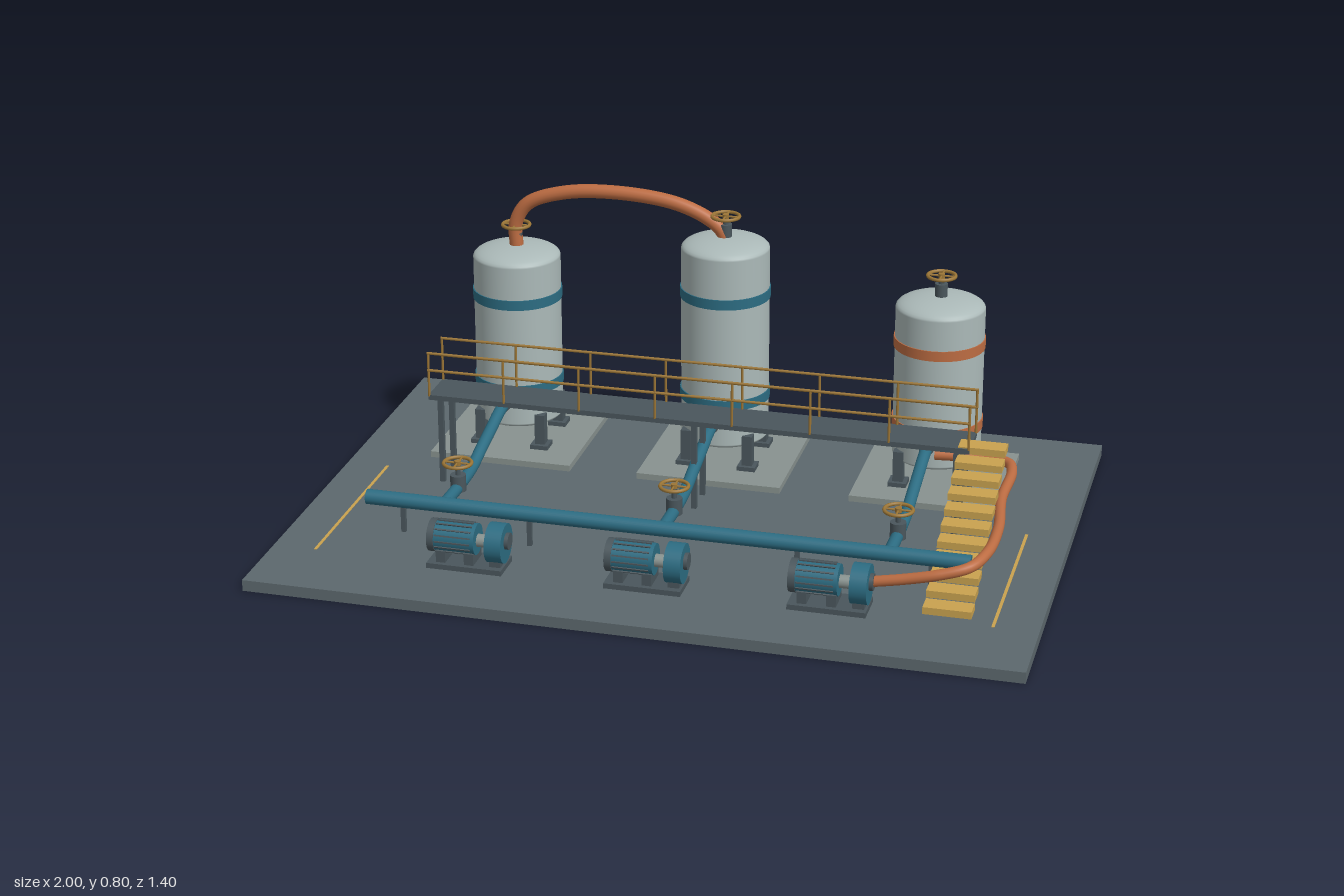
import * as THREE from 'three';

const mat = (color) => new THREE.MeshStandardMaterial({ color });
const M = {
  base: mat(0x5c686d), pad: mat(0x88928f), tank: mat(0xabb9b8), steel: mat(0x4a565c),
  teal: mat(0x2c6c82), copper: mat(0xbc6c42), yellow: mat(0xc9a24f), brass: mat(0x9c7636),
};

function add(parent, name, geo, material, x = 0, y = 0, z = 0) {
  const m = new THREE.Mesh(geo, material);
  m.name = name;
  m.position.set(x, y, z);
  parent.add(m);
  return m;
}
const box = (w, h, d) => new THREE.BoxGeometry(w, h, d);
const cyl = (r, h, n = 20) => new THREE.CylinderGeometry(r, r, h, n);
const cylX = (r, h, n = 28) => cyl(r, h, n).rotateZ(Math.PI / 2);
const cylZ = (r, h, n = 20) => cyl(r, h, n).rotateX(Math.PI / 2);

function pipe(parent, name, points, r, material) {
  const curve = new THREE.CatmullRomCurve3(points.map((p) => new THREE.Vector3(...p)), false, 'centripetal');
  return add(parent, name, new THREE.TubeGeometry(curve, 80, r, 16), material);
}

// Valve handwheel lying flat, with four spokes and a hub
function handwheel(parent, x, y, z) {
  const g = new THREE.Group();
  g.name = 'handwheel';
  g.position.set(x, y, z);
  add(g, 'wheelRim', new THREE.TorusGeometry(0.037, 0.005, 8, 28).rotateX(Math.PI / 2), M.brass);
  add(g, 'wheelSpokeX', cylX(0.003, 0.074, 8), M.brass);
  add(g, 'wheelSpokeZ', cylZ(0.003, 0.074, 8), M.brass);
  add(g, 'wheelHub', cyl(0.009, 0.012, 12), M.brass);
  parent.add(g);
}

const TANK_Z = -0.35, R = 0.12, BOTTOM = 0.12;

// Domed vessel on four legs, with two bands, top nozzle and handwheel
function tank(x, shoulder, bandMaterial) {
  const g = new THREE.Group();
  g.name = 'tank';
  g.position.set(x, 0, TANK_Z);
  const profile = [];
  const dome = 0.032, n = 10;
  for (let i = 0; i <= n; i++) {
    const a = (i / n) * Math.PI / 2;
    profile.push(new THREE.Vector2(R * Math.sin(a), BOTTOM - dome * 0.8 * Math.cos(a)));
  }
  for (let i = 0; i <= n; i++) {
    const a = (i / n) * Math.PI / 2;
    profile.push(new THREE.Vector2(R * Math.cos(a), shoulder + dome * Math.sin(a)));
  }
  add(g, 'tankShell', new THREE.LatheGeometry(profile, 48), M.tank);
  for (const t of [0.22, 0.77]) {
    add(g, 'tankBand', cyl(R + 0.003, 0.028, 48), bandMaterial, 0, BOTTOM + t * (shoulder - BOTTOM), 0);
  }
  add(g, 'concretePad', box(0.4, 0.017, 0.39), M.pad, 0, 0.0385, 0);
  for (const sx of [-1, 1]) for (const sz of [-1, 1]) {
    add(g, 'tankLeg', box(0.028, 0.1, 0.028), M.steel, sx * 0.086, 0.095, sz * 0.086);
    add(g, 'footPlate', box(0.05, 0.012, 0.05), M.steel, sx * 0.086, 0.053, sz * 0.086);
  }
  const top = shoulder + dome;
  add(g, 'topNozzle', cyl(0.017, 0.045), M.steel, 0, top + 0.012, 0);
  add(g, 'valveStem', cyl(0.008, 0.04, 12), M.steel, 0, top + 0.04, 0);
  handwheel(g, 0, top + 0.056, 0);
  return g;
}

// Motor, shaft and volute on a skid, lying along x
function pump(x) {
  const g = new THREE.Group();
  g.name = 'pump';
  g.position.set(x, 0.1, 0.472);
  add(g, 'skid', box(0.2, 0.014, 0.095), M.steel, 0, -0.061, 0);
  for (const px of [-0.065, 0.01]) add(g, 'motorFoot', box(0.025, 0.035, 0.07), M.steel, px, -0.04, 0);
  add(g, 'voluteFoot', box(0.03, 0.03, 0.06), M.steel, 0.078, -0.045, 0);
  add(g, 'motor', cylX(0.041, 0.11), M.teal, -0.03, 0.006, 0);
  add(g, 'fanCover', cylX(0.043, 0.018), M.steel, -0.091, 0.006, 0);
  for (let i = 0; i < 16; i++) {
    const a = (i / 16) * Math.PI * 2;
    const fin = add(g, 'coolingFin', box(0.095, 0.004, 0.004), M.steel, -0.032, 0.006 + 0.042 * Math.cos(a), 0.042 * Math.sin(a));
    fin.rotation.x = a;
  }
  add(g, 'shaft', cylX(0.017, 0.05), M.pad, 0.04, 0.003, 0);
  add(g, 'volute', cylX(0.052, 0.044), M.teal, 0.079, 0.003, 0);
  add(g, 'outletFlange', cylX(0.022, 0.012), M.steel, 0.105, 0.01, 0);
  return g;
}

// Walkway deck on posts with railings along both long sides
function walkway() {
  const g = new THREE.Group();
  g.name = 'walkway';
  add(g, 'deck', box(1.47, 0.014, 0.118), M.steel, 0, 0.277, -0.059);
  for (const x of [-0.705, 0, 0.7]) for (const z of [-0.012, -0.102]) {
    add(g, 'walkwayPost', box(0.014, 0.245, 0.014), M.steel, x, 0.15, z);
  }
  for (const z of [-0.002, -0.116]) {
    for (let i = 0; i < 8; i++) add(g, 'railPost', cyl(0.0035, 0.125, 8), M.brass, -0.733 + i * 0.2094, 0.343, z);
    for (const y of [0.355, 0.404]) add(g, 'handrail', cylX(0.004, 1.472, 8), M.brass, 0, y, z);
  }
  return g;
}

export function createModel() {
  const model = new THREE.Group();
  model.name = 'pumpStation';
  add(model, 'basePlate', box(2, 0.03, 1.4), M.base, 0, 0.015, 0);

  // Tanks and the arched transfer pipe between the first two
  model.add(tank(-0.59, 0.575, M.teal), tank(0, 0.65, M.teal), tank(0.59, 0.535, M.copper));
  pipe(model, 'transferPipe', [
    [-0.59, 0.6, TANK_Z], [-0.59, 0.67, TANK_Z], [-0.555, 0.727, TANK_Z], [-0.45, 0.767, TANK_Z], [-0.3, 0.779, TANK_Z],
    [-0.14, 0.763, TANK_Z], [-0.05, 0.728, TANK_Z], [-0.01, 0.695, TANK_Z], [0, 0.66, TANK_Z],
  ], 0.019, M.copper);

  // Header pipe on stands
  add(model, 'headerPipe', cylX(0.02, 1.6), M.teal, 0, 0.117, 0.317);
  for (const x of [-0.7, -0.355, 0.355, 0.7]) add(model, 'headerStand', box(0.012, 0.08, 0.012), M.steel, x, 0.068, 0.32);

  // Branch pipes with valves, from the header to each tank
  for (const x of [-0.59, 0, 0.59]) {
    pipe(model, 'branchPipe', [
      [x, 0.117, 0.317], [x, 0.115, 0.17], [x, 0.122, 0.08], [x, 0.143, 0], [x, 0.165, -0.09], [x, 0.183, -0.16], [x, 0.19, -0.23],
    ], 0.016, M.teal);
    add(model, 'tankNozzle', cylZ(0.02, 0.05), M.steel, x, 0.19, -0.215);
    add(model, 'valveBody', cyl(0.021, 0.045), M.steel, x, 0.128, 0.195);
    add(model, 'valveStem', cyl(0.007, 0.045, 12), M.steel, x, 0.166, 0.195);
    handwheel(model, x, 0.184, 0.195);
  }

  for (const x of [-0.47, 0, 0.473]) model.add(pump(x));
  model.add(walkway());

  // Stairs down from the walkway
  const stairs = new THREE.Group();
  stairs.name = 'stairs';
  for (let i = 0; i < 11; i++) {
    add(stairs, 'stairTread', box(0.123, 0.019, 0.052), M.yellow, 0.766, 0.278 - i * 0.0235, -0.031 + i * 0.0468);
  }
  model.add(stairs);

  // Delivery pipe from the last tank round the stairs to the last pump
  pipe(model, 'deliveryPipe', [
    [0.61, 0.165, -0.215], [0.68, 0.167, -0.218], [0.755, 0.168, -0.222], [0.81, 0.169, -0.2], [0.828, 0.17, -0.14],
    [0.828, 0.17, 0.03], [0.85, 0.172, 0.22], [0.845, 0.172, 0.37], [0.815, 0.163, 0.44], [0.75, 0.148, 0.465],
    [0.66, 0.127, 0.47], [0.575, 0.11, 0.47],
  ], 0.014, M.copper);

  // Painted floor lines
  for (const x of [-0.885, 0.885]) add(model, 'floorLine', box(0.008, 0.002, 0.55), M.yellow, x, 0.0305, 0.21);
  return model;
}
